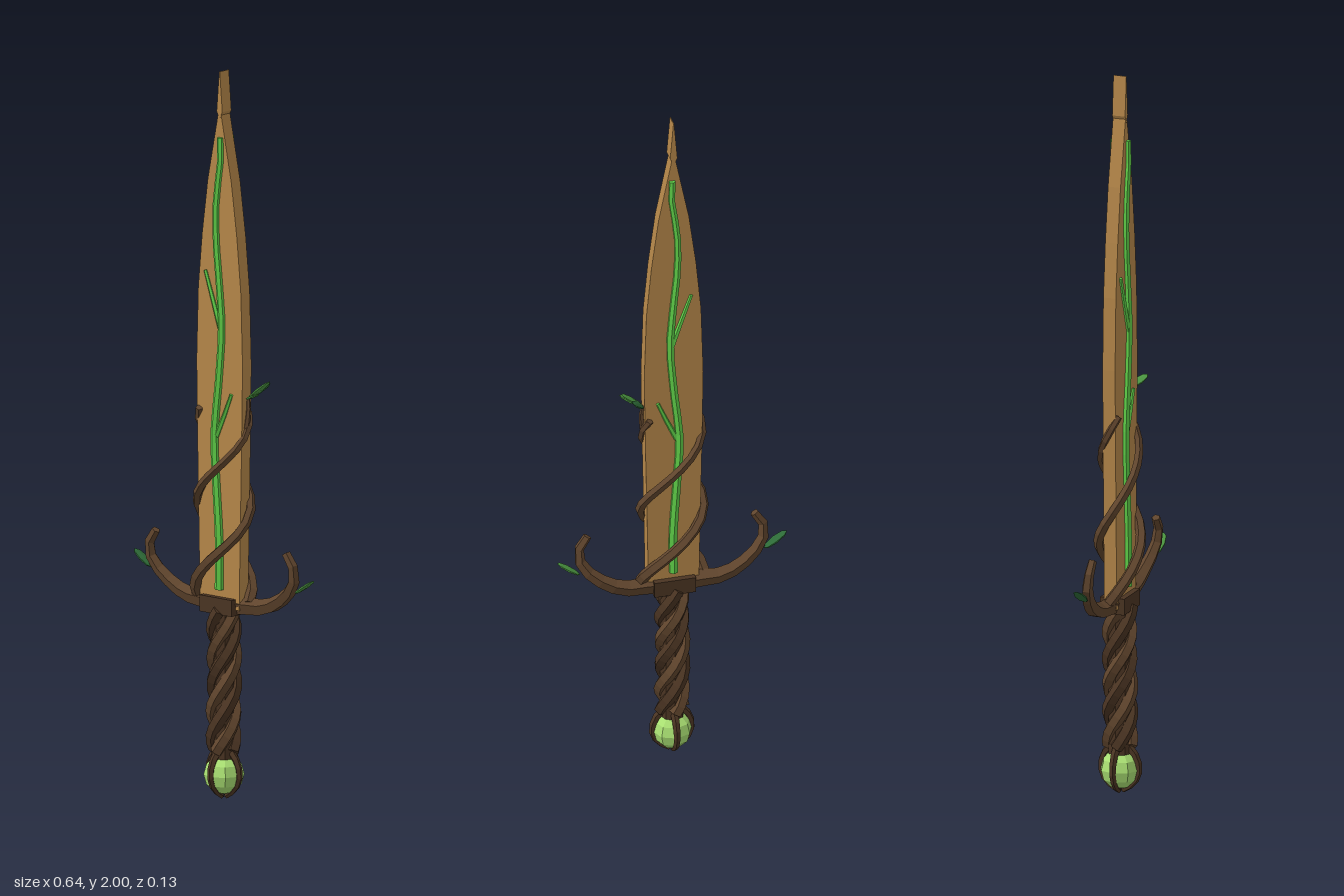
import * as THREE from 'three';

const V = (x, y, z) => new THREE.Vector3(x, y, z);
const mat = (color) => new THREE.MeshStandardMaterial({ color, flatShading: true });
const WOOD = mat(0xb48649), BARK = mat(0x60452d), DARK = mat(0x4a3422), SAP = mat(0x5fcf48);
const LEAF = mat(0x4a9440), LEAF_DARK = mat(0x2d6a37), BUD = mat(0xa9df72);

function add(parent, name, geometry, material) {
  const mesh = new THREE.Mesh(geometry, material);
  mesh.name = name;
  parent.add(mesh);
  return mesh;
}

// Closed, faceted branch that tapers from r0 to r1 along a list of points
function branch(points, r0, r1, steps, sides = 5) {
  const curve = new THREE.CatmullRomCurve3(points);
  const g = new THREE.TubeGeometry(curve, steps, 1, sides);
  const p = g.attributes.position, ring = sides + 1, v = V(0, 0, 0);
  for (let i = 0; i <= steps; i++) {
    const c = curve.getPointAt(i / steps), r = r0 + (r1 - r0) * i / steps;
    for (let j = 0; j < ring; j++) {
      v.fromBufferAttribute(p, i * ring + j).sub(c).multiplyScalar(r).add(c);
      p.setXYZ(i * ring + j, v.x, v.y, v.z);
    }
  }
  const index = Array.from(g.index.array), e = steps * ring;
  for (let j = 1; j < sides - 1; j++) index.push(0, j, j + 1, e, e + j + 1, e + j);
  g.setIndex(index);
  return g;
}

// Flat block cut from an outline of [x, y] pairs, centred on z = 0
function slab(outline, depth) {
  const shape = new THREE.Shape(outline.map(([x, y]) => new THREE.Vector2(x, y)));
  return new THREE.ExtrudeGeometry(shape, { depth, bevelEnabled: false }).translate(0, 0, -depth / 2);
}

// Pointed, slightly thick leaf spanning from base to tip
function leaf(parent, name, base, tip, width, material) {
  const length = base.distanceTo(tip);
  const g = new THREE.SphereGeometry(0.5, 6, 4);
  g.scale(0.009, length, width);
  const m = add(parent, name, g, material);
  const along = tip.clone().sub(base).normalize();
  const side = V(0, 0, 1).addScaledVector(along, -along.z).normalize();
  const flat = along.clone().cross(side);
  m.quaternion.setFromRotationMatrix(new THREE.Matrix4().makeBasis(flat, along, side));
  m.position.copy(base).add(tip).multiplyScalar(0.5);
}

export function createModel() {
  const sword = new THREE.Group();
  sword.name = 'woodenSword';

  // Blade and its spike
  const half = [[0.07, 0.53], [0.073, 0.7], [0.078, 0.95], [0.082, 1.2], [0.076, 1.4],
    [0.062, 1.55], [0.042, 1.7], [0.022, 1.8], [0.004, 1.89]];
  const mirrored = half.map(([x, y]) => [-x, y]).reverse();
  add(sword, 'blade', slab([...half, ...mirrored], 0.036), WOOD);
  add(sword, 'bladeTip', slab([[-0.01, 1.89], [0, 1.87], [0.01, 1.89], [0.001, 2], [-0.001, 2]], 0.037), WOOD);

  // Glowing veins on both faces
  const vein = [[0.002, 0.58], [0.003, 0.7], [-0.008, 0.87], [-0.015, 1], [0, 1.15], [0.011, 1.3],
    [0.002, 1.42], [-0.01, 1.55], [-0.008, 1.66], [0.006, 1.75], [0.005, 1.82]];
  const twigs = [[[0.008, 1.29], [-0.02, 1.37], [-0.048, 1.45]], [[-0.008, 1.0], [0.02, 1.06], [0.045, 1.12]]];
  for (const s of [1, -1]) {
    const place = (list) => list.map(([x, y]) => V(x, y, s * 0.021));
    const face = s > 0 ? 'front' : 'back';
    add(sword, face + 'Vein', branch(place(vein), 0.013, 0.009, 20, 6), SAP);
    twigs.forEach((t, i) => add(sword, face + 'VeinTwig' + (i + 1), branch(place(t), 0.008, 0.005, 4), SAP));
  }

  // Two vines winding around the blade half a turn apart
  for (let k = 0; k < 2; k++) {
    const pts = [];
    for (let i = 0; i <= 16; i++) {
      const t = i / 16, a = Math.PI * (1 + k) + t * Math.PI * 2.2;
      pts.push(V(Math.cos(a) * (0.09 - 0.006 * t), 0.55 + 0.52 * t, -Math.sin(a) * (0.055 - 0.015 * t) * -1));
    }
    // Rising from the model's right across the front to its left
    pts.forEach((p) => { p.z = -p.z; });
    add(sword, 'bladeVine' + (k + 1), branch(pts, 0.017, 0.01, 18), BARK);
  }

  // Leaf cluster at the vine's end
  const root = V(0.082, 1.11, -0.005);
  add(sword, 'leafStem', branch([V(0.08, 1.03, 0), V(0.086, 1.08, -0.002), root], 0.009, 0.005, 3), BARK);
  leaf(sword, 'clusterLeaf1', root, V(0.147, 1.165, -0.02), 0.036, LEAF);
  leaf(sword, 'clusterLeaf2', root, V(0.122, 1.15, -0.05), 0.032, LEAF_DARK);
  leaf(sword, 'clusterLeaf3', root, V(0.14, 1.135, 0.025), 0.032, LEAF);

  // Guard: block, curled arms and one leaf on each
  add(sword, 'guardBlock', new THREE.BoxGeometry(0.115, 0.045, 0.07).translate(0, 0.537, 0), DARK);
  for (const s of [1, -1]) {
    const side = s > 0 ? 'left' : 'right';
    const arm = [[0, 0.535, 0], [0.07, 0.54, -0.005], [0.14, 0.545, -0.01], [0.205, 0.578, -0.006],
      [0.25, 0.625, 0.004], [0.258, 0.667, 0.01], [0.232, 0.71, 0.012]].map(([x, y, z]) => V(s * x, y, z));
    add(sword, side + 'GuardArm', branch(arm, 0.029, 0.012, 9), BARK);
    leaf(sword, side + 'GuardLeaf', V(s * 0.255, 0.6, 0), V(s * 0.32, 0.645, 0), 0.037, s > 0 ? LEAF : LEAF_DARK);
  }

  // Grip: core wrapped by twisted strands
  add(sword, 'gripCore', new THREE.CylinderGeometry(0.033, 0.033, 0.42, 8).translate(0, 0.325, 0), DARK);
  for (let k = 0; k < 4; k++) {
    const pts = [];
    for (let i = 0; i <= 14; i++) {
      const t = i / 14, a = k * Math.PI / 2 + t * Math.PI * 2.6;
      pts.push(V(Math.sin(a) * 0.031, 0.135 + 0.39 * t, Math.cos(a) * 0.031));
    }
    add(sword, 'gripStrand' + (k + 1), branch(pts, 0.019, 0.018, 18), k % 2 ? DARK : BARK);
  }

  // Pommel: bud held by four claws
  add(sword, 'pommelBud', new THREE.SphereGeometry(0.055, 8, 6).translate(0, 0.07, 0), BUD);
  for (let k = 0; k < 4; k++) {
    const a = k * Math.PI / 2;
    const pts = [[0.026, 0.132], [0.046, 0.108], [0.055, 0.07], [0.04, 0.033], [0.008, 0.01]]
      .map(([r, y]) => V(Math.sin(a) * r, y, Math.cos(a) * r));
    add(sword, 'pommelClaw' + (k + 1), branch(pts, 0.011, 0.007, 6), DARK);
  }
  return sword;
}
